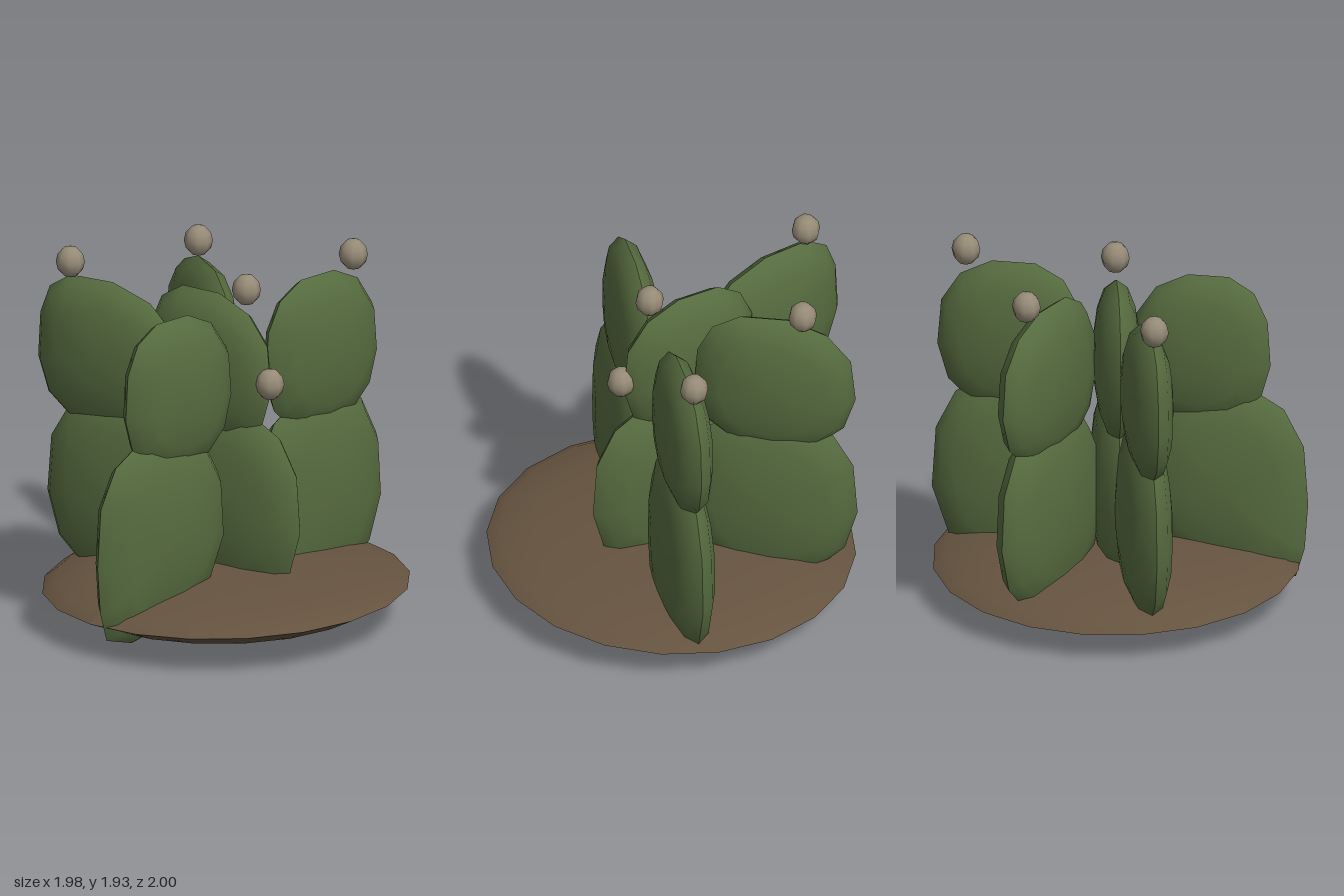
import * as THREE from 'three';

const material = (name, color) => {
  const m = new THREE.MeshStandardMaterial({ color });
  m.name = name;
  return m;
};

// Rounded outline with a vertex at the bottom and a flat top;
// bend shifts the crown of the pad, or its foot, sideways.
function padOutline(u, y, halfWidth, halfHeight, bend, isLower) {
  const soft = (v) => Math.sign(v) * Math.abs(v) ** 0.85;
  return Array.from({ length: 13 }, (_, i) => {
    const a = -Math.PI / 2 + (i / 13) * Math.PI * 2;
    const s = soft(Math.sin(a));
    const pull = Math.max(0, isLower ? -s : s) ** 3;
    return [u + halfWidth * soft(Math.cos(a)) + bend * pull, y + halfHeight * s];
  });
}

// Lens-shaped pad: the outline swells to a given half thickness in z.
// Each side has its own rim vertices, so the rim stays a sharp ridge.
function padGeometry(outline, centre, half) {
  const n = outline.length, pos = [], idx = [];
  const rings = [[1, 0], [0.9, 0.47], [0.66, 0.78], [0.33, 0.96]]; // scale, thickness
  for (const side of [1, -1]) {
    const base = pos.length / 3;
    for (const [s, t] of rings)
      for (const [x, y] of outline)
        pos.push(centre[0] + (x - centre[0]) * s, centre[1] + (y - centre[1]) * s, side * half * t);
    pos.push(...centre, side * half);
    const tip = base + rings.length * n;
    const tri = (a, b, c) => (side > 0 ? idx.push(a, b, c) : idx.push(a, c, b));
    for (let r = 0; r < rings.length; r++)
      for (let i = 0; i < n; i++) {
        const a = base + r * n + i, b = base + r * n + ((i + 1) % n);
        if (r === rings.length - 1) tri(a, b, tip);
        else {
          tri(a, b, b + n);
          tri(a, b + n, a + n);
        }
      }
  }
  const g = new THREE.BufferGeometry();
  g.setAttribute('position', new THREE.Float32BufferAttribute(pos, 3));
  g.setIndex(idx);
  g.computeVertexNormals();
  return g;
}

export function createModel() {
  const model = new THREE.Group();
  model.name = 'cactus';
  const green = material('cactus green', 0x566b3f);
  const brown = material('soil brown', 0x65533f);
  const beige = material('bud beige', 0x968b77);

  // Soil mound: lens with a slightly tilted rim, in two halves for a sharp edge
  const mound = new THREE.Group();
  mound.name = 'soilMound';
  const halves = {
    moundUnderside: [[0, 0.035], [0.5, 0.06], [0.8, 0.115], [0.97, 0.19]],
    moundTop: [[0.97, 0.19], [0.9, 0.235], [0.72, 0.28], [0.45, 0.315], [0, 0.335]],
  };
  for (const [name, profile] of Object.entries(halves)) {
    const g = new THREE.LatheGeometry(profile.map(([x, y]) => new THREE.Vector2(x, y)), 20);
    const p = g.attributes.position;
    for (let i = 0; i < p.count; i++) {
      const x = p.getX(i), r2 = x * x + p.getZ(i) ** 2;
      p.setY(i, p.getY(i) + 0.04 * x * r2);
    }
    g.computeVertexNormals();
    const mesh = new THREE.Mesh(g, brown);
    mesh.name = name;
    mound.add(mesh);
  }
  mound.position.x = 0.015;
  model.add(mound);

  // Stems: two pads each, as [along, height, half width, half height, bend]
  const stems = [
    { name: 'frontStem', x: 0.11, z: 0, turn: -Math.PI / 2,
      lower: [0.56, 0.62, 0.445, 0.56, 0.2], upper: [0.435, 1.37, 0.37, 0.43, 0.04] },
    { name: 'backStem', x: 0.11, z: 0, turn: -Math.PI / 2,
      lower: [-0.565, 0.58, 0.44, 0.58, 0.11], upper: [-0.585, 1.37, 0.39, 0.43, 0.02] },
    { name: 'middleStem', x: 0, z: 0, turn: 0.23,
      lower: [0.03, 0.64, 0.455, 0.53, 0], upper: [-0.09, 1.37, 0.39, 0.43, -0.06] },
    { name: 'rightBackStem', x: 0, z: -0.09, turn: -0.39,
      lower: [-0.49, 0.64, 0.46, 0.53, 0], upper: [-0.51, 1.37, 0.43, 0.43, 0.06] },
    { name: 'rightFrontStem', x: 0, z: 0.07, turn: 0.325,
      lower: [-0.525, 0.64, 0.475, 0.53, 0], upper: [-0.63, 1.36, 0.425, 0.42, -0.11] },
  ];
  for (const { name, x, z, turn, lower, upper } of stems) {
    const stem = new THREE.Group();
    stem.name = name;
    for (const pad of [lower, upper]) {
      const isLower = pad === lower;
      const outline = padOutline(...pad, isLower);
      const mesh = new THREE.Mesh(padGeometry(outline, pad.slice(0, 2), isLower ? 0.135 : 0.125), green);
      mesh.name = isLower ? 'lowerPad' : 'upperPad';
      stem.add(mesh);
    }
    stem.position.set(x, 0, z);
    stem.rotation.y = turn;
    model.add(stem);
  }

  // Buds hovering above the pads
  const budGeometry = new THREE.SphereGeometry(0.085, 8, 6).scale(0.9, 1, 0.9);
  const buds = [[0.11, 1.845, -0.82], [0.14, 1.845, -0.03], [0.3, 1.355, -0.05],
    [-0.6, 1.845, -0.37], [-0.81, 1.845, 0.35]];
  buds.forEach((p, i) => {
    const bud = new THREE.Mesh(budGeometry, beige);
    bud.name = `bud${i + 1}`;
    bud.position.set(...p);
    model.add(bud);
  });
  return model;
}
